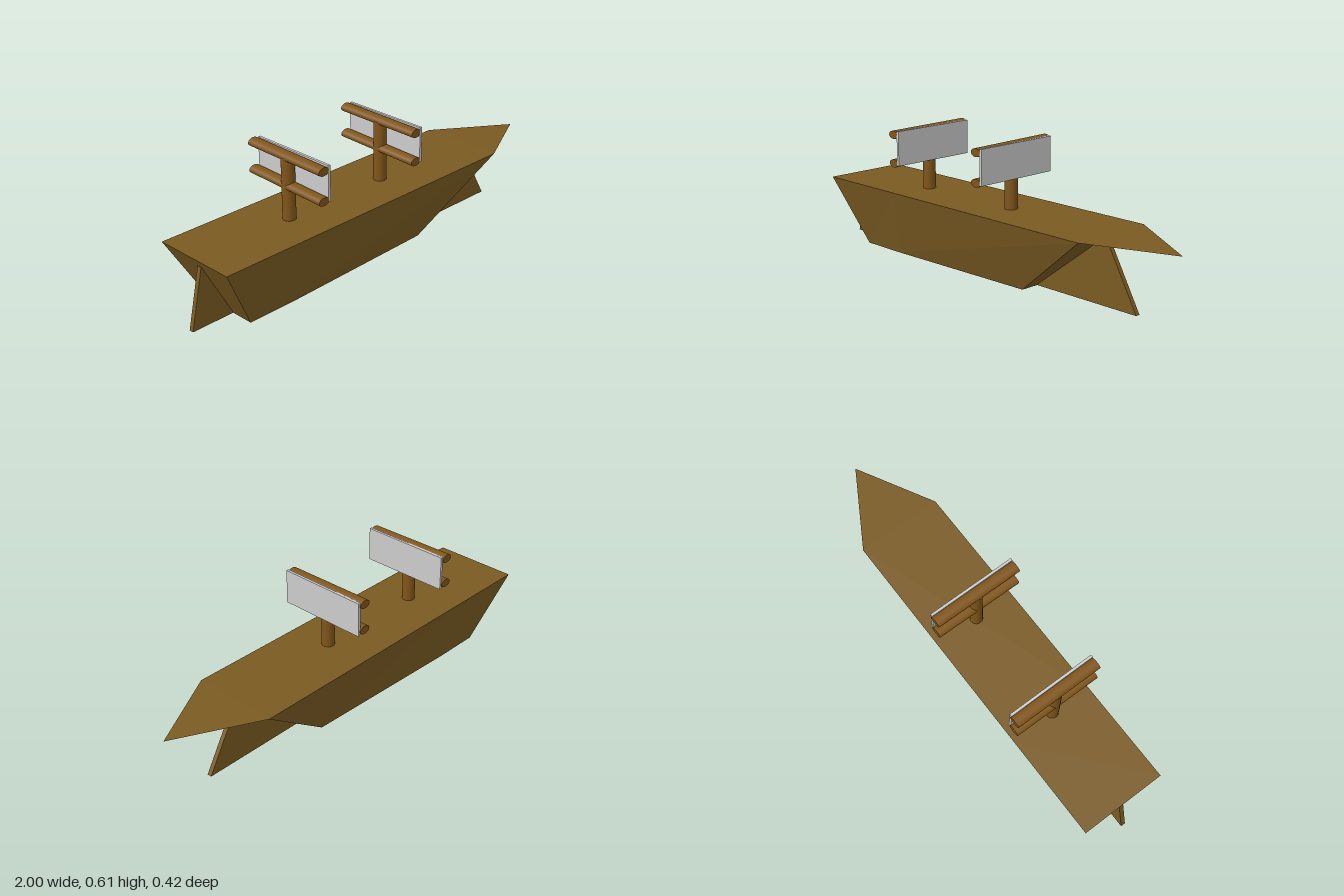
import * as THREE from 'three';

const hullMat = new THREE.MeshStandardMaterial({ color: 0x7a5a22, flatShading: true, side: THREE.DoubleSide });
const poleMat = new THREE.MeshStandardMaterial({ color: 0x80551a });
const panelMat = new THREE.MeshStandardMaterial({ color: 0xcccccc });

function add(parent, name, geometry, material, x = 0, y = 0, z = 0) {
  const mesh = new THREE.Mesh(geometry, material);
  mesh.name = name;
  mesh.position.set(x, y, z);
  parent.add(mesh);
  return mesh;
}

// Hull lofted through four-cornered sections: deck x, bottom x, bottom half width
function hullGeometry() {
  const zMid = -0.01, deckY = 0.312, deckHalf = 0.201;
  const sections = [[-0.96, -0.79, 0.121], [-0.5, -0.56, 0.122], [0.635, 0.23, 0.099]];
  const points = [], index = [];
  for (const [deckX, bottomX, half] of sections) {
    points.push(
      deckX, deckY, zMid + deckHalf, deckX, deckY, zMid - deckHalf,
      bottomX, 0, zMid - half, bottomX, 0, zMid + half);
  }
  const quad = (a, b, c, d) => index.push(a, b, c, a, c, d);
  for (let s = 0; s < sections.length - 1; s++) {
    for (let k = 0; k < 4; k++) {
      const a = s * 4 + k, b = s * 4 + (k + 1) % 4;
      quad(a, a + 4, b + 4, b);
    }
  }
  quad(0, 1, 2, 3);
  const e = (sections.length - 1) * 4;
  quad(e + 3, e + 2, e + 1, e);
  // Thin pointed foredeck
  points.push(1, 0.296, 0);
  index.push(e, points.length / 3 - 1, e + 1);
  const g = new THREE.BufferGeometry();
  g.setAttribute('position', new THREE.Float32BufferAttribute(points, 3));
  g.setIndex(index);
  const flat = g.toNonIndexed();
  flat.computeVertexNormals();
  return flat;
}

// Upright plate showing beyond the hull at bow and stern
function keelGeometry() {
  const shape = new THREE.Shape([[-1, 0.004], [0.787, 0.004], [0.62, 0.297], [-0.94, 0.272]]
    .map(([x, y]) => new THREE.Vector2(x, y)));
  return new THREE.ExtrudeGeometry(shape, { depth: 0.021, bevelEnabled: false });
}

// Post with two crossbars and a flat panel facing the bow
function createSail() {
  const sail = new THREE.Group();
  add(sail, 'post', new THREE.CylinderGeometry(0.029, 0.029, 0.29, 24), poleMat, 0, 0.445, 0);
  for (const [y, tilt] of [[0.592, 0.011], [0.465, 0.029]]) {
    const geometry = new THREE.CylinderGeometry(1, 1, 0.422, 24);
    geometry.rotateX(Math.PI / 2).scale(0.028, 0.0185, 1);
    add(sail, 'crossbar', geometry, poleMat, 0, y, 0).rotation.x = tilt;
  }
  add(sail, 'panel', new THREE.BoxGeometry(0.012, 0.158, 0.418), panelMat, 0.03, 0.53, 0.002);
  return sail;
}

export function createModel() {
  const model = new THREE.Group();
  model.name = 'boat';
  add(model, 'hull', hullGeometry(), hullMat);
  add(model, 'keel', keelGeometry(), hullMat, 0, 0, -0.013);
  [['rearSail', -0.467], ['frontSail', 0.071]].forEach(([name, x]) => {
    const sail = createSail();
    sail.name = name;
    sail.position.x = x;
    model.add(sail);
  });
  return model;
}
